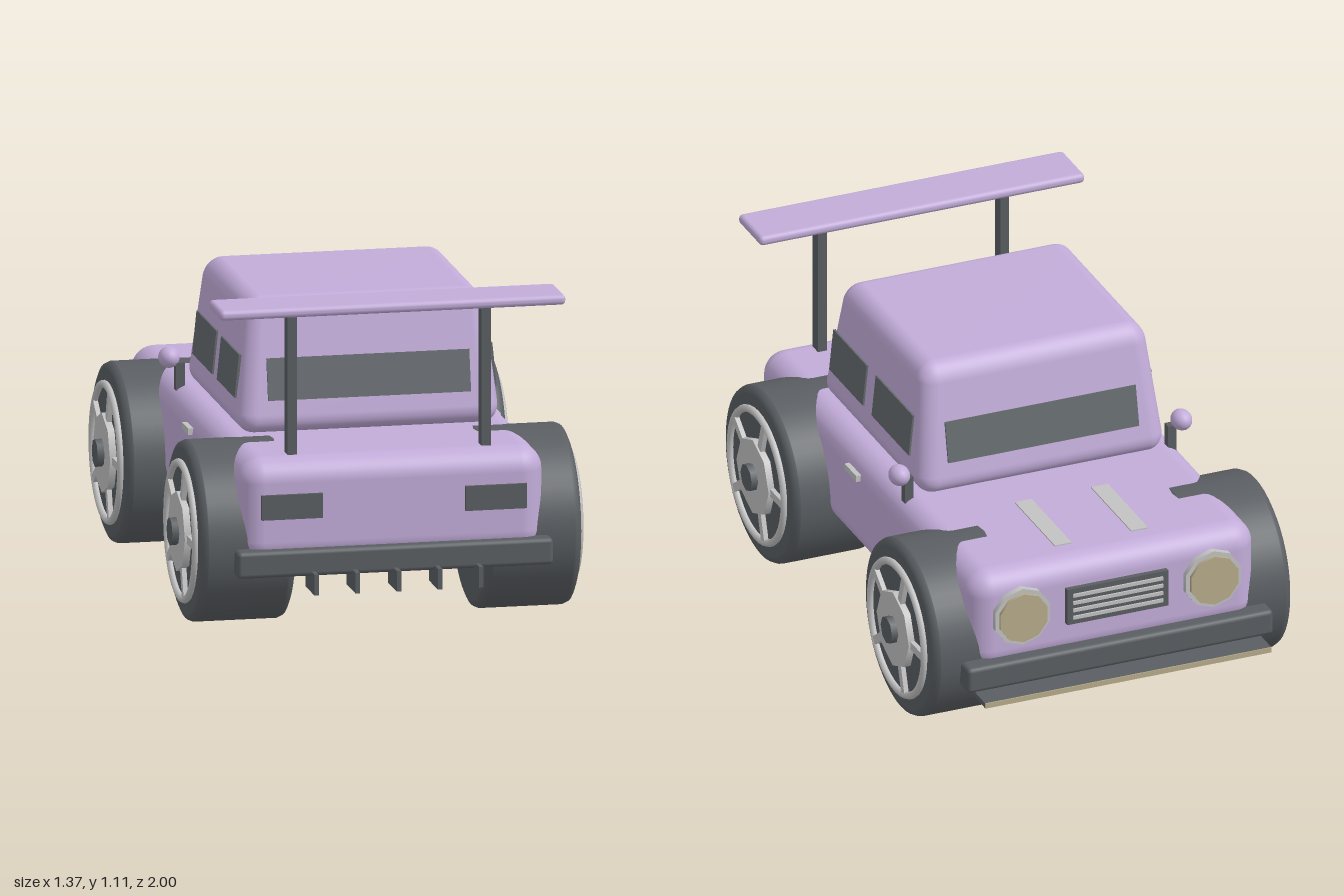
import * as THREE from 'three';
import { mergeVertices } from 'three/addons/utils/BufferGeometryUtils.js';
import { RoundedBoxGeometry } from 'three/addons/geometries/RoundedBoxGeometry.js';

const mat = (name, color) => Object.assign(new THREE.MeshStandardMaterial({ color }), { name });
const paint = mat('lilac paint', 0xc2acd9);
const dark = mat('dark rubber', 0x5a5e62);
const glass = mat('smoked glass', 0x64696d);
const silver = mat('silver', 0xc2c2c2);
const cream = mat('cream lens', 0xb5aa8a);

function add(parent, name, geo, material, x = 0, y = 0, z = 0) {
  const mesh = new THREE.Mesh(geo, material);
  mesh.name = name;
  mesh.position.set(x, y, z);
  parent.add(mesh);
  return mesh;
}
const box = (w, h, d) => new THREE.BoxGeometry(w, h, d);
const rounded = (w, h, d, r, s = 4) => new RoundedBoxGeometry(w, h, d, s, r);
// Disc whose axis runs along x
const discX = (r, w, n) => new THREE.CylinderGeometry(r, r, w, n).rotateZ(-Math.PI / 2);
// Disc whose axis runs along z
const discZ = (r, w, n) => new THREE.CylinderGeometry(r, r, w, n).rotateX(Math.PI / 2);

// Cabin: rounded box narrowing towards the roof
const cab = { y0: 0.597, h: 0.441, z: 0.125, w0: 0.445, w1: 0.4, d0: 0.433, d1: 0.34 };
const halfWidth = y => THREE.MathUtils.mapLinear(y, cab.y0, cab.y0 + cab.h, cab.w0, cab.w1);
const halfDepth = y => THREE.MathUtils.mapLinear(y, cab.y0, cab.y0 + cab.h, cab.d0, cab.d1);
function cabinGeometry() {
  let g = rounded(2 * cab.w0, cab.h, 2 * cab.d0, 0.065, 5);
  g.translate(0, cab.y0 + cab.h / 2, 0);
  g.deleteAttribute('uv');
  g.deleteAttribute('normal');
  g = mergeVertices(g, 1e-5);
  const p = g.attributes.position;
  for (let i = 0; i < p.count; i++) {
    const y = p.getY(i);
    p.setX(i, p.getX(i) * halfWidth(y) / cab.w0);
    p.setZ(i, p.getZ(i) * halfDepth(y) / cab.d0);
  }
  g.computeVertexNormals();
  return g;
}

// Wheel with its outer face towards +x
function makeWheel() {
  const wheel = new THREE.Group();
  const R = 0.3, W = 0.159, b = 0.022;
  const pts = [[0, -W], [R - b - 0.002, -W], [R - b, -W], [R - b * 0.3, -W + b * 0.3], [R, -W + b], [R, -W + b + 0.002],
    [R, W - b - 0.002], [R, W - b], [R - b * 0.3, W - b * 0.3], [R - b, W], [R - b - 0.002, W], [0, W]];
  const tyre = new THREE.LatheGeometry(pts.map(p => new THREE.Vector2(...p)), 48).rotateZ(-Math.PI / 2);
  add(wheel, 'tyre', tyre, dark);
  add(wheel, 'rimRing', new THREE.TorusGeometry(0.226, 0.013, 8, 40).rotateY(Math.PI / 2), silver, W + 0.006);
  add(wheel, 'hub', discX(0.135, 0.03, 8), silver, W + 0.008);
  add(wheel, 'hubCap', discX(0.047, 0.05, 8), dark, W + 0.021);
  for (let i = 0; i < 5; i++) {
    const spoke = add(wheel, 'spoke', box(0.02, 0.028, 0.11).translate(0, 0, -0.17), silver, W + 0.006);
    spoke.rotation.x = i * Math.PI * 2 / 5;
  }
  return wheel;
}

export function createModel() {
  const car = new THREE.Group();
  car.name = 'car';

  // Body and cabin
  add(car, 'body', rounded(1.02, 0.357, 1.81, 0.08, 6), paint, 0, 0.4185, 0.013);
  add(car, 'cabin', cabinGeometry(), paint, 0, 0, cab.z);

  // Windows lie on the sloping cabin walls
  const wy = 0.782;
  const sideTilt = Math.atan((cab.w0 - cab.w1) / cab.h), endTilt = Math.atan((cab.d0 - cab.d1) / cab.h);
  for (const s of [-1, 1]) {
    for (const [z0, z1] of [[-0.19, 0.12], [0.195, 0.475]]) {
      const w = add(car, 'sideWindow', box(0.009, 0.145, z1 - z0), glass, s * (halfWidth(wy) + 0.002), wy, (z0 + z1) / 2);
      w.rotation.z = s * sideTilt;
    }
    const e = add(car, s > 0 ? 'rearWindow' : 'windscreen', box(0.68, 0.14, 0.009), glass, 0, wy - 0.005, cab.z + s * (halfDepth(wy) + 0.003));
    e.rotation.x = -s * endTilt;
  }

  // Wheels
  for (const [axle, z] of [['rear', 0.597], ['front', -0.577]])
    for (const s of [-1, 1]) {
      const wheel = makeWheel();
      wheel.name = axle + 'Wheel';
      wheel.position.set(s * 0.479, 0.3, z);
      if (s < 0) wheel.rotation.y = Math.PI;
      car.add(wheel);
    }

  // Bumpers, splitter and diffuser fins
  add(car, 'rearBumper', rounded(1.06, 0.09, 0.085, 0.015, 2), dark, 0, 0.253, 0.907);
  add(car, 'frontBumper', rounded(1.09, 0.09, 0.085, 0.015, 2), dark, 0, 0.25, -0.895);
  add(car, 'splitter', box(1.02, 0.018, 0.145), dark, 0, 0.186, -0.923);
  add(car, 'splitterTrim', box(1.02, 0.018, 0.004), cream, 0, 0.186, -0.998);
  for (let i = -2; i <= 2; i++)
    add(car, 'diffuserFin', box(0.015, 0.07, 0.14), dark, i * 0.138, 0.19, 0.93);

  // Spoiler
  add(car, 'spoilerWing', rounded(1.16, 0.034, 0.19, 0.015, 2), paint, 0, 1.088, 0.817);

  // Grille
  add(car, 'grille', box(0.36, 0.13, 0.03), dark, 0, 0.44, -0.895);
  for (let i = 0; i < 4; i++)
    add(car, 'grilleBar', box(0.32, 0.012, 0.008), silver, 0, 0.4 + i * 0.027, -0.912);

  // Paired details
  for (const s of [-1, 1]) {
    add(car, 'spoilerPost', box(0.032, 0.49, 0.045), dark, s * 0.325, 0.835, 0.823);
    add(car, 'tailLight', box(0.205, 0.083, 0.025), dark, s * 0.342, 0.44, 0.916);
    add(car, 'headlightRim', discZ(0.103, 0.03, 10), silver, s * 0.34, 0.44, -0.897);
    add(car, 'headlightLens', discZ(0.088, 0.03, 10), cream, s * 0.34, 0.44, -0.909);
    add(car, 'bonnetStripe', box(0.06, 0.006, 0.335), silver, s * 0.136, 0.598, -0.605);
    add(car, 'mirrorStalk', box(0.03, 0.12, 0.03), dark, s * 0.469, 0.61, -0.25);
    add(car, 'mirror', new THREE.SphereGeometry(0.035, 20, 14).scale(1, 1, 1.2), paint, s * 0.503, 0.685, -0.26);
    add(car, 'doorHandle', box(0.03, 0.022, 0.097), silver, s * 0.51, 0.526, 0.097);
  }
  return car;
}
